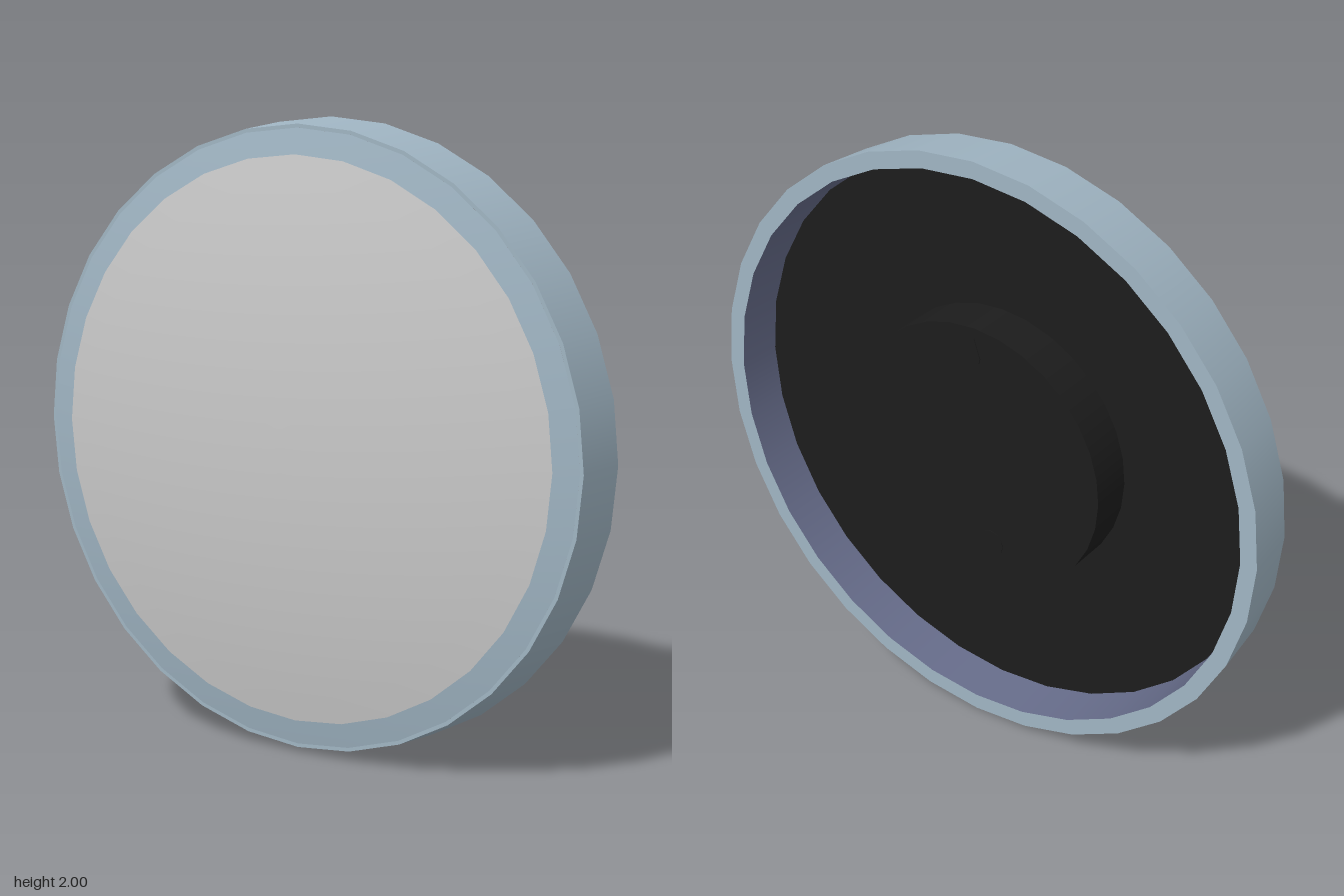
import * as THREE from 'three';

const SEGMENTS = 32;

export function createModel() {
  const mat = (name, color) => {
    const m = new THREE.MeshStandardMaterial({ color });
    m.name = name;
    return m;
  };
  const frameBlue = mat('frameBlue', 0x9fb4c2);
  const innerBlue = mat('innerBlue', 0x666c8a);
  const diffuserGrey = mat('diffuserGrey', 0xc8c8c8);
  const backBlack = mat('backBlack', 0x1c1c1c);

  const group = new THREE.Group();
  const lamp = new THREE.Group();
  lamp.name = 'roundLamp';
  lamp.position.y = 1;
  group.add(lamp);

  const add = (name, geometry, material) => {
    const mesh = new THREE.Mesh(geometry, material);
    mesh.name = name;
    lamp.add(mesh);
    return mesh;
  };
  // Turns [radius, z] pairs around the front-back axis
  const turned = (name, points, material) => {
    const g = new THREE.LatheGeometry(points.map(([r, z]) => new THREE.Vector2(r, z)), SEGMENTS);
    g.rotateX(Math.PI / 2);
    return add(name, g, material);
  };

  // Shallow spherical bulge shared by the bezel and the diffuser
  const R = 4.76;
  const bulge = (r) => 0.145 - R + Math.sqrt(R * R - r * r);
  const arc = (from, to, n) => Array.from({ length: n + 1 }, (_, i) => {
    const r = from + (to - from) * i / n;
    return [r, bulge(r)];
  });

  // Frame: side band, front lip, bezel, back lip and inside wall
  turned('frameSide', [[1, -0.145], [0.982, 0.045]], frameBlue);
  turned('frameFrontLip', [[0.982, 0.045], [0.97, 0.045]], frameBlue);
  turned('bezel', arc(0.97, 0.89, 3), frameBlue);
  turned('frameBackLip', [[0.945, -0.145], [1, -0.145]], frameBlue);
  turned('frameInsideWall', [[0.935, 0], [0.945, -0.145]], innerBlue);

  // Domed light cover
  turned('diffuser', arc(0.89, 0, 10), diffuserGrey);

  // Recessed back plate with the raised mounting drum
  turned('backPlate', [[0, 0], [0.945, 0]], backBlack);
  turned('drumSide', [[0.455, -0.142], [0.455, 0]], backBlack);
  turned('drumFace', [[0, -0.142], [0.455, -0.142]], backBlack);

  // Thin raised details on the drum face
  const drop = new THREE.Shape();
  drop.moveTo(0, 0.05);
  drop.lineTo(-0.022, -0.015);
  drop.quadraticCurveTo(-0.02, -0.04, 0, -0.04);
  drop.quadraticCurveTo(0.02, -0.04, 0.022, -0.015);
  drop.closePath();
  const tab = new THREE.ExtrudeGeometry(drop, { depth: 0.003, bevelEnabled: false, curveSegments: 4 });
  add('hangingTab', tab, backBlack).position.set(0, 0.37, -0.145);

  const screw = new THREE.CylinderGeometry(0.045, 0.045, 0.002, 12).rotateX(Math.PI / 2);
  add('screwHead', screw, backBlack).position.set(-0.06, -0.3, -0.143);
  for (const side of [-1, 1]) {
    const ridge = add('screwRidge', new THREE.BoxGeometry(0.06, 0.016, 0.002), backBlack);
    ridge.position.set(-0.06 + side * 0.011, -0.3 + side * 0.011, -0.144);
    ridge.rotation.z = -Math.PI / 4;
  }

  return group;
}
